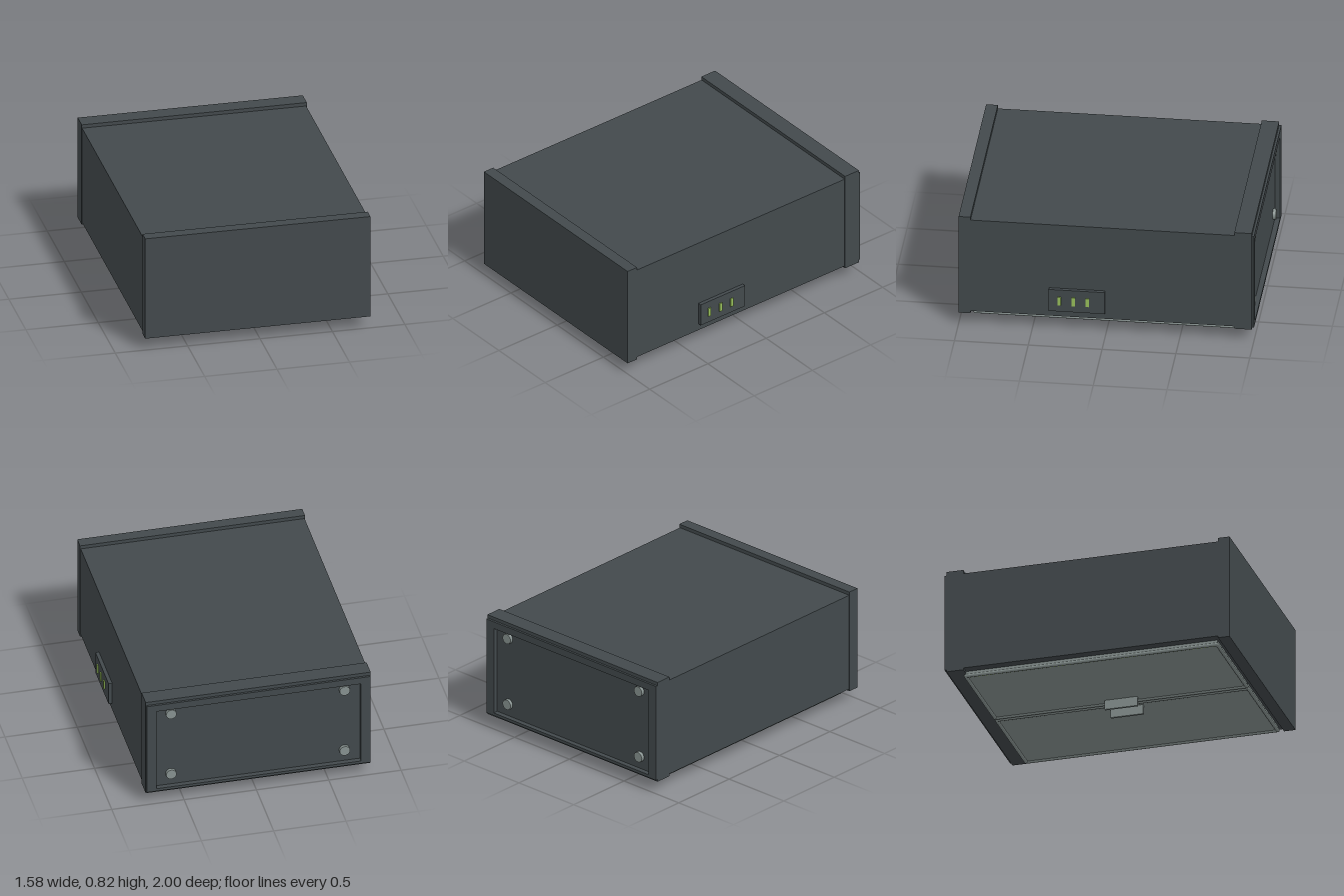
import * as THREE from 'three';

export function createModel() {
  const model = new THREE.Group();
  model.name = 'cabinet';
  const mat = (name, color) => {
    const m = new THREE.MeshStandardMaterial({ color });
    m.name = name;
    return m;
  };
  const dark = mat('charcoal', 0x42494c);
  const grey = mat('lightGrey', 0x879290);
  const green = mat('green', 0x98c05a);

  // box given by its limits on each axis
  const box = (name, material, [x0, x1], [y0, y1], [z0, z1], parent = model) => {
    const mesh = new THREE.Mesh(new THREE.BoxGeometry(x1 - x0, y1 - y0, z1 - z0), material);
    mesh.position.set((x0 + x1) / 2, (y0 + y1) / 2, (z0 + z1) / 2);
    mesh.name = name;
    parent.add(mesh);
    return mesh;
  };

  // cabinet body with a wider end cap on both ends
  box('body', dark, [-0.79, 0.757], [0.1, 0.8], [-0.965, 0.95]);
  box('topCap', dark, [-0.793, 0.762], [0.085, 0.825], [0.92, 1]);

  // open frame around the recessed base plate
  const frame = (name, [x0, x1], [y0, y1], [z0, z1], side, top, bottom) => {
    const s = new THREE.Shape();
    s.moveTo(x0, y0).lineTo(x1, y0).lineTo(x1, y1).lineTo(x0, y1).closePath();
    const h = new THREE.Path();
    h.moveTo(x0 + side, y0 + bottom).lineTo(x0 + side, y1 - top);
    h.lineTo(x1 - side, y1 - top).lineTo(x1 - side, y0 + bottom).closePath();
    s.holes.push(h);
    const mesh = new THREE.Mesh(new THREE.ExtrudeGeometry(s, { depth: z1 - z0, bevelEnabled: false }), dark);
    mesh.position.z = z0;
    mesh.name = name;
    model.add(mesh);
  };
  frame('baseCap', [-0.793, 0.762], [0.085, 0.825], [-0.985, -0.867], 0.07, 0.075, 0.035);
  frame('baseRim', [-0.79, 0.757], [0.1, 0.8], [-1, -0.98], 0.067, 0.05, 0.02);

  // feet on the base plate
  for (const x of [-0.615, 0.585]) for (const y of [0.21, 0.7]) {
    const foot = new THREE.Mesh(new THREE.CylinderGeometry(0.036, 0.036, 0.025, 20), grey);
    foot.rotation.x = Math.PI / 2;
    foot.position.set(x, y, -0.975);
    foot.name = 'foot';
    model.add(foot);
  }

  // two doors with rounded frames and a handle each
  const r = 0.012, yBar = 0.067, z0 = -0.87, z1 = 0.895;
  const bar = (a, b, parent) => {
    const dir = b.clone().sub(a);
    const mesh = new THREE.Mesh(new THREE.CylinderGeometry(r, r, dir.length(), 10), grey);
    mesh.position.copy(a).add(b).multiplyScalar(0.5);
    mesh.quaternion.setFromUnitVectors(new THREE.Vector3(0, 1, 0), dir.normalize());
    mesh.name = 'frameBar';
    parent.add(mesh);
    const end = new THREE.Mesh(new THREE.SphereGeometry(r, 10, 8), grey);
    end.position.copy(a);
    end.name = 'frameCorner';
    parent.add(end);
  };
  const doors = [
    ['rightDoor', -0.728, -0.032, -0.083],
    ['leftDoor', 0, 0.698, 0.053],
  ];
  for (const [name, x0, x1, handleX] of doors) {
    const door = new THREE.Group();
    door.name = name;
    model.add(door);
    box('doorPanel', grey, [x0, x1], [yBar, 0.101], [z0, z1], door);
    const c = [[x0, z0], [x1, z0], [x1, z1], [x0, z1]].map(([x, z]) => new THREE.Vector3(x, yBar, z));
    c.forEach((p, i) => bar(p, c[(i + 1) % 4], door));
    box('handle', grey, [handleX - 0.008, handleX + 0.008], [0, yBar], [-0.085, 0.145], door);
  }
  // thin light strip beside the frame of the right door
  box('lightStrip', green, [-0.714, -0.706], [0.064, 0.068], [z0 + 0.02, z1 - 0.01]);

  // control panel with three buttons
  box('controlPanel', dark, [0.75, 0.782], [0.15, 0.315], [0.008, 0.388]);
  for (const z of [0.125, 0.22, 0.316]) {
    box('button', green, [0.78, 0.79], [0.2, 0.263], [z - 0.011, z + 0.011]);
  }
  return model;
}
